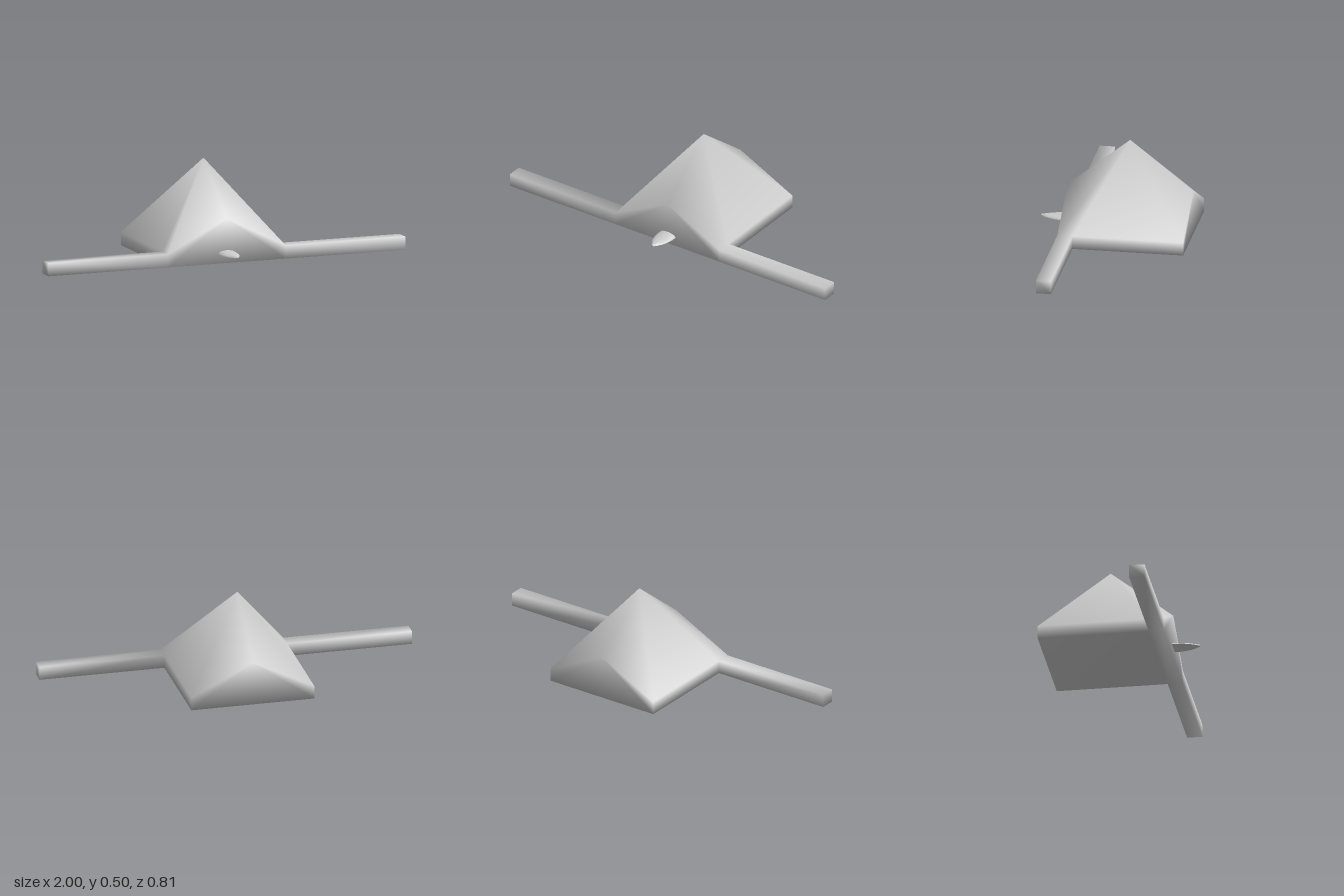
import * as THREE from 'three';
import { toCreasedNormals } from 'three/addons/utils/BufferGeometryUtils.js';

const HALF = 0.33, FRONT = 0.26, BACK = -0.405, INNER = 0.18, EAVE = 0.07;

// Corner points of the right half; names ending in t or b are top or bottom
const corners = {
  apex: [0, 0.5, -0.07], gableF: [0, 0.235, FRONT], gableB: [0, 0.235, BACK],
  ft: [HALF, EAVE, FRONT], fb: [HALF, 0, FRONT],
  it: [HALF, EAVE, INNER], ib: [HALF, 0, INNER],
  bt: [HALF, EAVE, BACK], bb: [HALF, 0, BACK],
  eft: [1, EAVE, FRONT], efb: [1, 0, FRONT],
  ert: [1, EAVE, INNER], erb: [1, 0, INNER],
};

// Faces repeated on both sides
const sideFaces = [
  'apex ft it', 'apex it bt', 'apex gableF ft', 'apex bt gableB', // roof
  'gableF fb ft', 'gableB bt bb', 'it ib bb bt',                  // walls
  'ft fb efb eft', 'ft eft ert it', 'it ert erb ib',              // arm
  'fb ib erb efb', 'eft efb erb ert',
];

// Faces crossing the middle; a minus marks the mirrored corner
const middleFaces = [
  'gableF -fb fb', 'gableB bb -bb',
  '-fb -ib ib fb', '-ib -bb bb ib',
];

function buildBody() {
  const positions = [], index = [], ids = {};
  const vertex = (name) => {
    const mirrored = name[0] === '-';
    const [x, y, z] = corners[mirrored ? name.slice(1) : name];
    const key = mirrored && x === 0 ? name.slice(1) : name;
    if (!(key in ids)) {
      ids[key] = positions.length / 3;
      positions.push(mirrored && x !== 0 ? -x : x, y, z);
    }
    return ids[key];
  };
  const addFace = (names) => {
    const v = names.map(vertex);
    for (let i = 1; i < v.length - 1; i++) index.push(v[0], v[i], v[i + 1]);
  };
  for (const face of sideFaces) {
    const names = face.split(' ');
    addFace(names);
    addFace(names.map((n) => '-' + n).reverse());
  }
  for (const face of middleFaces) addFace(face.split(' '));

  const geometry = new THREE.BufferGeometry();
  geometry.setAttribute('position', new THREE.Float32BufferAttribute(positions, 3));
  geometry.setIndex(index);
  geometry.computeVertexNormals(); // shared corners give soft shading
  return geometry;
}

// Pointed leaf with a domed top and a flat underside
function buildTongue() {
  const outline = [[0.05, 0.25], [0.05, 0.29], [0.046, 0.32], [0.035, 0.355],
    [0.02, 0.38], [0.006, 0.4], [0, 0.402]].map(([r, z]) => new THREE.Vector2(r, z));
  const geometry = new THREE.LatheGeometry(outline, 20);
  geometry.rotateX(Math.PI / 2);
  const p = geometry.attributes.position;
  for (let i = 0; i < p.count; i++) {
    const r = Math.hypot(p.getX(i), p.getY(i));
    const rise = r > 1e-6 ? Math.max(0, p.getY(i) / r) : 0.5;
    const t = (p.getZ(i) - 0.25) / 0.152;
    p.setY(i, 0.048 + 0.002 * t + rise * (0.021 - 0.013 * t));
  }
  return toCreasedNormals(geometry, 0.8);
}

export function createModel() {
  const grey = new THREE.MeshStandardMaterial({ color: 0xcccccc });
  grey.name = 'light grey';

  const body = new THREE.Mesh(buildBody(), grey);
  body.name = 'pyramidBodyWithArms';

  const tongue = new THREE.Mesh(buildTongue(), grey);
  tongue.name = 'frontTongue';

  const model = new THREE.Group();
  model.name = 'model';
  model.add(body, tongue);
  return model;
}
